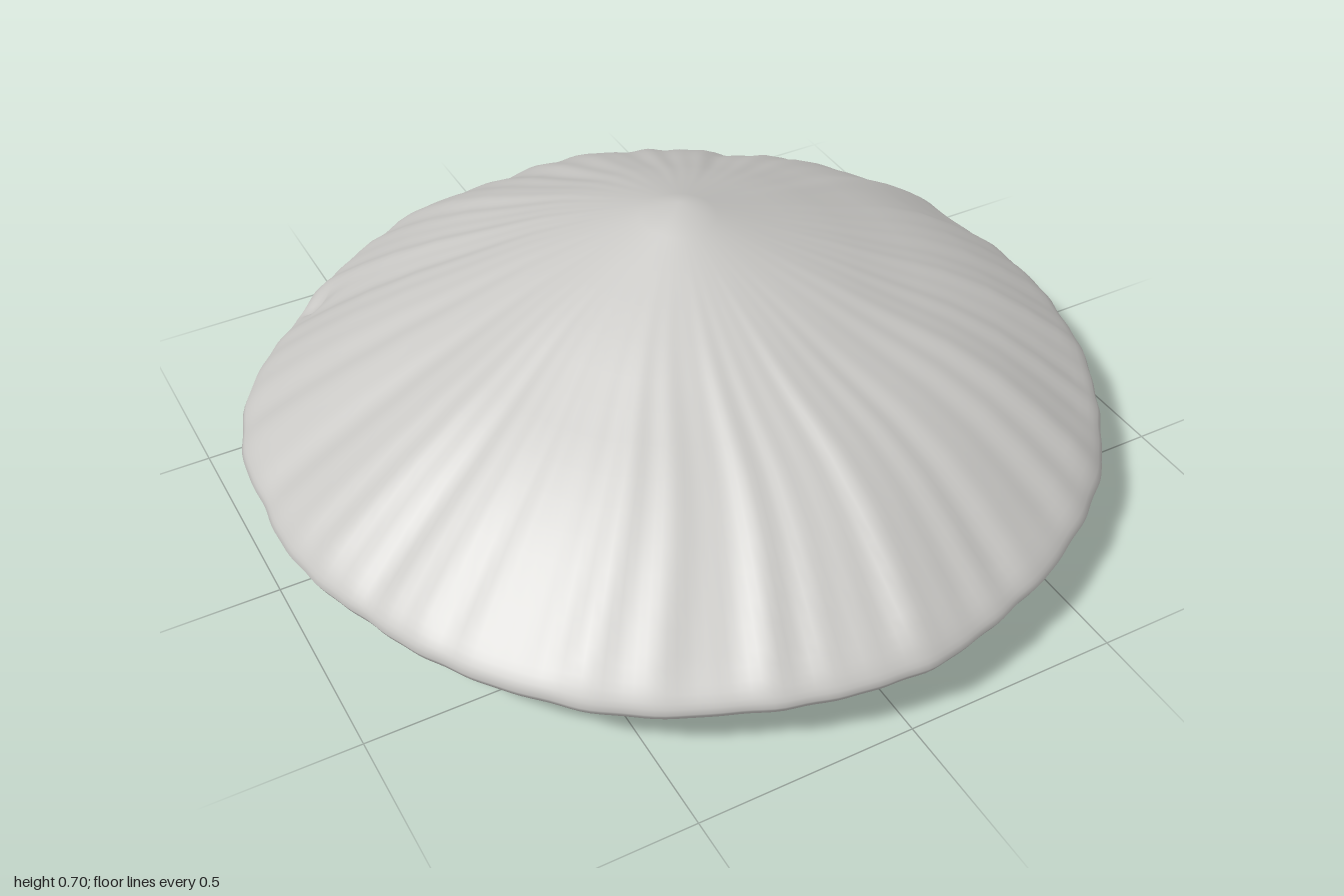
import * as THREE from 'three';
import { mergeVertices } from 'three/addons/utils/BufferGeometryUtils.js';

// rim radius every 22.5 degrees, starting at the front and turning toward +x
const RIM = [1, 0.985, 0.98, 0.985, 0.99, 1.01, 1, 1, 1, 0.99, 0.985, 1.01, 0.99, 0.975, 0.98, 0.985];
// half section (radius, height), underside to peak
const SECTION = [
  [0, 0], [0.18, 0.003], [0.36, 0.008], [0.55, 0.026], [0.7, 0.045], [0.82, 0.066], [0.91, 0.09],
  [0.965, 0.12], [0.99, 0.145], [1, 0.165], [0.99, 0.187], [0.965, 0.213], [0.92, 0.249], [0.84, 0.309],
  [0.74, 0.376], [0.62, 0.442], [0.48, 0.505], [0.34, 0.57], [0.17, 0.638], [0, 0.705],
];

function rimRadius(angle) {
  const n = RIM.length;
  const t = ((angle / (Math.PI * 2) + 1) % 1) * n;
  const i = Math.floor(t) % n;
  const f = t - Math.floor(t);
  return THREE.MathUtils.lerp(RIM[i], RIM[(i + 1) % n], f * f * (3 - 2 * f));
}

// irregular radial folds, periodic around the shell
function folds(a) {
  return 0.35 * Math.sin(9 * a + 1.2) + 0.3 * Math.sin(17 * a + 0.4 + Math.sin(3 * a))
    + 0.22 * Math.sin(31 * a + 2.1 * Math.sin(2 * a)) + 0.18 * Math.sin(53 * a + 1.7 * Math.sin(5 * a));
}

export function createModel() {
  const group = new THREE.Group();
  group.name = 'shell';
  const shellGrey = new THREE.MeshStandardMaterial({ color: 0xc8c7c4 });
  shellGrey.name = 'shellGrey';

  // refine the half section and spin it
  const points = [];
  SECTION.forEach(([r, y], i) => {
    points.push(new THREE.Vector2(r, y));
    const next = SECTION[i + 1];
    if (next) points.push(new THREE.Vector2((r + next[0]) / 2, (y + next[1]) / 2));
  });
  let geometry = new THREE.LatheGeometry(points, 288);
  geometry.deleteAttribute('uv');
  geometry.deleteAttribute('normal');
  geometry = mergeVertices(geometry, 1e-5);

  // uneven rim, radial folds and a small pit at the back
  const pos = geometry.attributes.position;
  for (let i = 0; i < pos.count; i++) {
    const x = pos.getX(i), y = pos.getY(i), z = pos.getZ(i);
    const r = Math.hypot(x, z);
    if (r < 1e-4) continue;
    const a = Math.atan2(x, z);
    const outer = THREE.MathUtils.smoothstep(r, 0.15, 0.9);
    const scale = 1 + (rimRadius(a) - 1) * outer + 0.007 * folds(a) * outer;
    const top = y > 0.165;
    const slope = outer * (1 - THREE.MathUtils.smoothstep(r, 0.93, 1.02));
    let lift = folds(a + 0.03 * Math.sin(7 * r)) * slope * (top ? 0.012 : 0.006);
    lift += 0.005 * Math.sin(4 * a + 0.8) * outer;
    if (top) lift -= 0.03 * Math.exp(-(((x + 0.655) ** 2 + (z + 0.69) ** 2) / 0.0008));
    pos.setXYZ(i, x * scale, Math.max(0, y + lift), z * scale);
  }
  geometry.computeVertexNormals();

  const shell = new THREE.Mesh(geometry, shellGrey);
  shell.name = 'shellBody';
  group.add(shell);
  return group;
}
